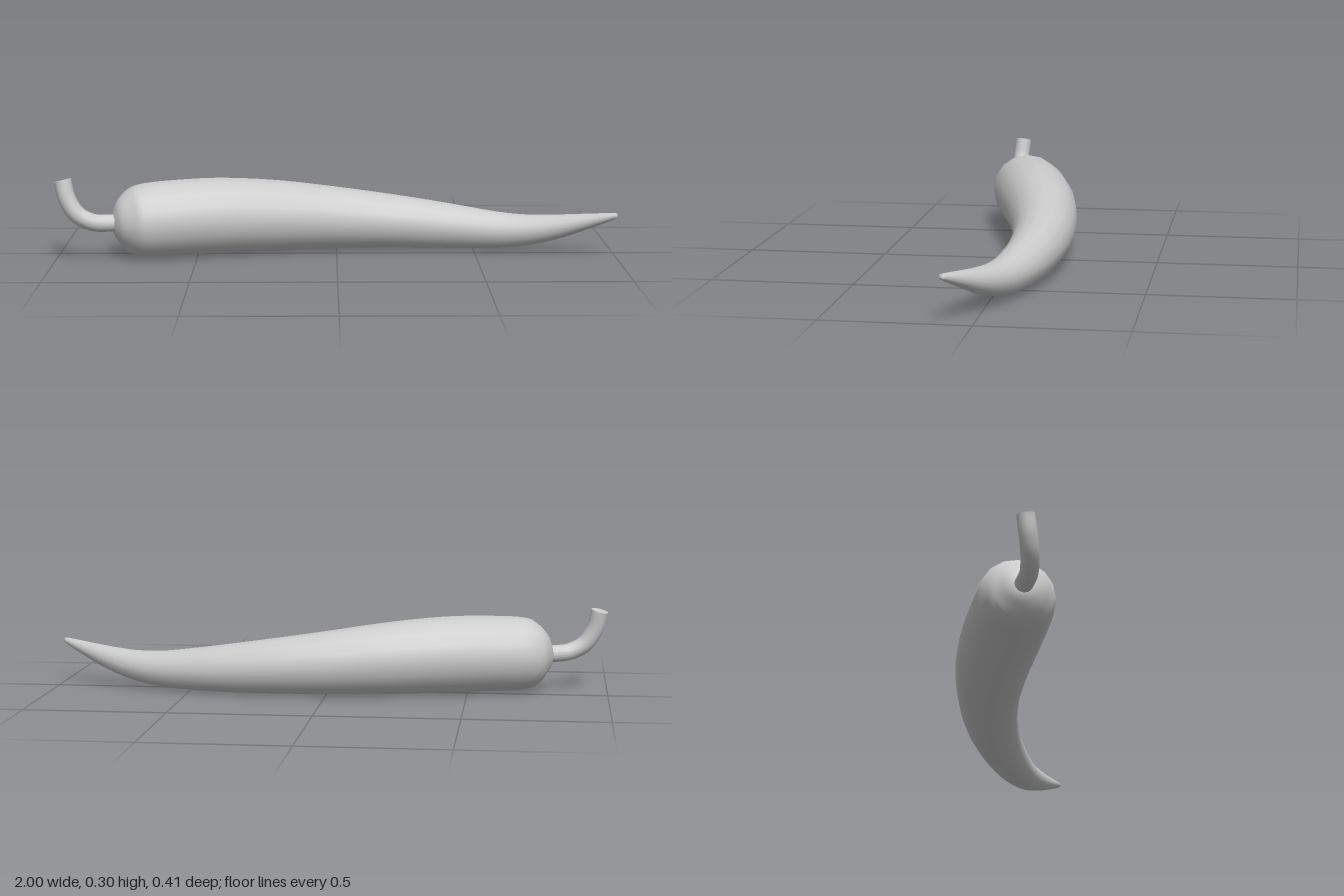
import * as THREE from 'three';

const material = new THREE.MeshStandardMaterial({ color: 0xcccccc });

// Cross-sections along the pod: centre x, y, z and radius
const STATIONS = [
  [-0.797, 0.133, 0.102, 0.03], [-0.786, 0.133, 0.099, 0.06], [-0.763, 0.134, 0.093, 0.093],
  [-0.73, 0.135, 0.083, 0.12], [-0.685, 0.137, 0.071, 0.133], [-0.58, 0.14, 0.042, 0.137],
  [-0.42, 0.14, -0.003, 0.138], [-0.22, 0.131, -0.053, 0.13], [0, 0.116, -0.089, 0.114],
  [0.2, 0.102, -0.099, 0.099], [0.4, 0.087, -0.085, 0.084], [0.58, 0.077, -0.05, 0.068],
  [0.7, 0.083, -0.018, 0.056], [0.8, 0.101, 0.014, 0.044], [0.9, 0.127, 0.053, 0.028],
  [0.992, 0.153, 0.094, 0.011], [0.997, 0.155, 0.096, 0.006],
];
const SIDES = 16;
const RINGS = 48;

// Sweep round sections along the curved centre line, closing both ends with a point
function podGeometry() {
  const spline = (pts) => new THREE.CatmullRomCurve3(pts, false, 'catmullrom', 0.5);
  const path = spline(STATIONS.map(([x, y, z]) => new THREE.Vector3(x, y, z)));
  const radii = spline(STATIONS.map((s, i) => new THREE.Vector3(i, s[3], 0)));
  const up = new THREE.Vector3(0, 1, 0);
  const positions = [];
  const index = [];
  for (let i = 0; i <= RINGS; i++) {
    const t = i / RINGS;
    const centre = path.getPoint(t);
    const tangent = path.getTangent(t);
    const side = new THREE.Vector3().crossVectors(tangent, up).normalize();
    const top = new THREE.Vector3().crossVectors(side, tangent);
    const r = radii.getPoint(t).y;
    for (let j = 0; j < SIDES; j++) {
      const a = (j / SIDES) * Math.PI * 2;
      const p = centre.clone().addScaledVector(side, r * Math.cos(a)).addScaledVector(top, r * Math.sin(a));
      positions.push(p.x, Math.max(p.y, 0), p.z);
      if (i < RINGS) {
        const k = (j + 1) % SIDES;
        const [p0, p1, q0, q1] = [i * SIDES + j, i * SIDES + k, (i + 1) * SIDES + j, (i + 1) * SIDES + k];
        index.push(p0, q1, q0, p0, p1, q1);
      }
    }
  }
  // End points
  const start = positions.length / 3;
  const last = RINGS * SIDES;
  positions.push(-0.8, 0.133, 0.103, 1, 0.156, 0.097);
  for (let j = 0; j < SIDES; j++) {
    const k = (j + 1) % SIDES;
    index.push(start, k, j, start + 1, last + j, last + k);
  }
  // Make every face point outwards whatever the sweep direction
  const geometry = new THREE.BufferGeometry();
  geometry.setAttribute('position', new THREE.Float32BufferAttribute(positions, 3));
  geometry.setIndex(index);
  geometry.computeVertexNormals();
  const mid = Math.round(RINGS / 2) * SIDES + SIDES / 4;
  if (geometry.attributes.normal.getY(mid) < 0) {
    geometry.setIndex(index.slice().reverse());
    geometry.computeVertexNormals();
  }
  return geometry;
}

// Bent stalk with a flat cut end
function createStalk() {
  const stalk = new THREE.Group();
  stalk.name = 'stalk';
  const path = new THREE.CatmullRomCurve3([
    [-0.76, 0.133, 0.092], [-0.81, 0.133, 0.11], [-0.865, 0.139, 0.128],
    [-0.918, 0.168, 0.135], [-0.952, 0.222, 0.133], [-0.969, 0.29, 0.126],
  ].map((p) => new THREE.Vector3(...p)));
  const tube = new THREE.Mesh(new THREE.TubeGeometry(path, 20, 0.031, 16), material);
  tube.name = 'stalkStem';

  const cut = new THREE.Mesh(new THREE.CircleGeometry(0.031, 16), material);
  cut.name = 'stalkCutEnd';
  cut.position.copy(path.getPoint(1));
  cut.quaternion.setFromUnitVectors(new THREE.Vector3(0, 0, 1), path.getTangent(1));
  stalk.add(tube, cut);
  return stalk;
}

export function createModel() {
  const model = new THREE.Group();
  model.name = 'chiliPepper';
  const pod = new THREE.Mesh(podGeometry(), material);
  pod.name = 'pod';
  model.add(pod, createStalk());
  return model;
}
